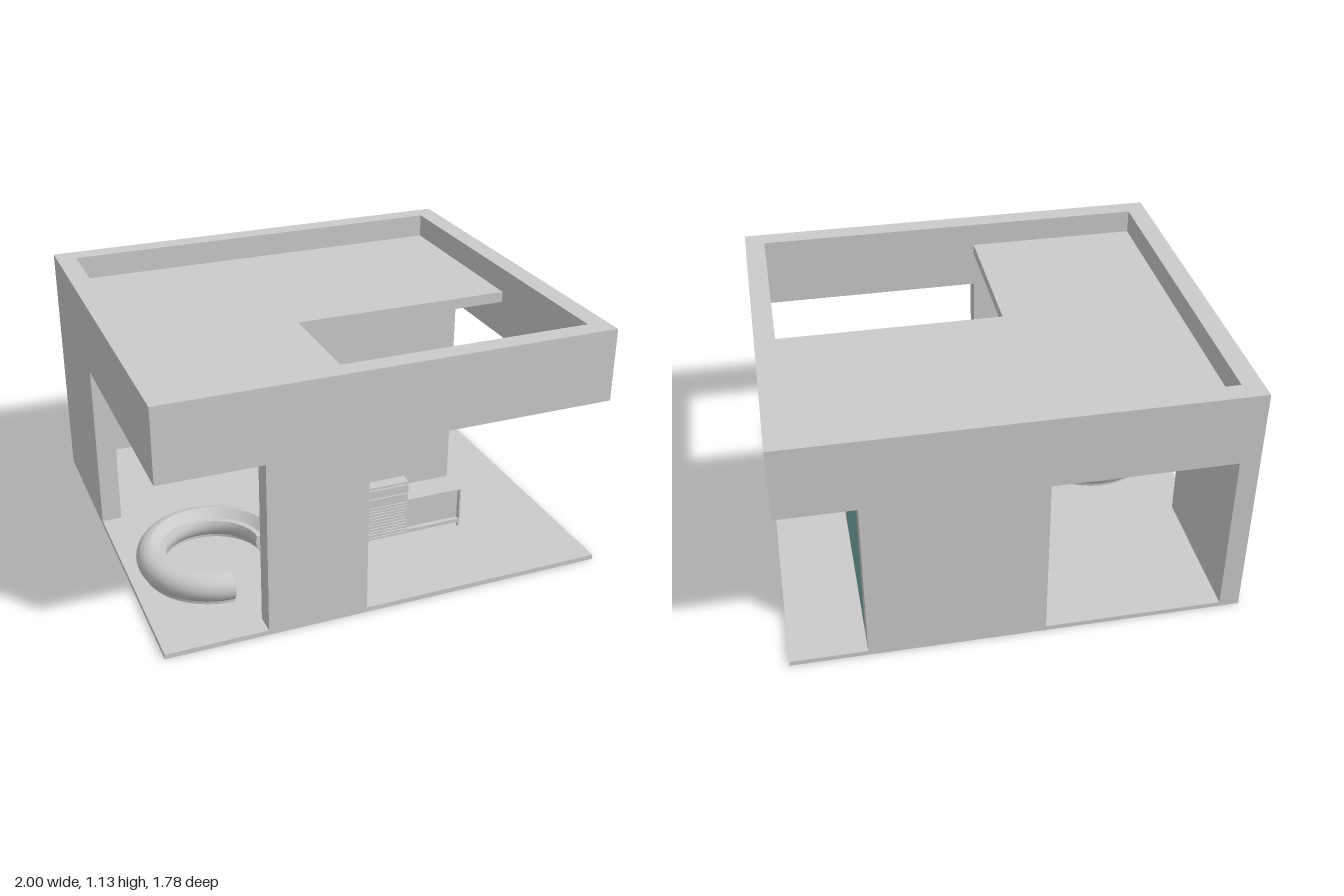
import * as THREE from 'three';
import { toCreasedNormals } from 'three/addons/utils/BufferGeometryUtils.js';

const grey = new THREE.MeshStandardMaterial({ color: 0xcccccc });
const greyThin = new THREE.MeshStandardMaterial({ color: 0xcccccc, side: THREE.DoubleSide });
const teal = new THREE.MeshStandardMaterial({ color: 0x78aaa7 });

export function createModel() {
  const model = new THREE.Group();
  const group = (name) => {
    const g = new THREE.Group();
    g.name = name;
    model.add(g);
    return g;
  };
  const add = (parent, name, geometry, material = grey) => {
    const mesh = new THREE.Mesh(geometry, material);
    mesh.name = name;
    parent.add(mesh);
    return mesh;
  };
  // Box given by its limits on each axis
  const box = (parent, name, [x0, x1], [y0, y1], [z0, z1], material) => {
    const mesh = add(parent, name, new THREE.BoxGeometry(x1 - x0, y1 - y0, z1 - z0), material);
    mesh.position.set((x0 + x1) / 2, (y0 + y1) / 2, (z0 + z1) / 2);
    return mesh;
  };
  // Flat plan shape (x, z corners) raised from y0 to y1; outline and hole wind opposite ways
  const slab = (parent, name, plan, y0, y1, hole) => {
    const points = (list) => list.map(([x, z]) => new THREE.Vector2(x, -z));
    const shape = new THREE.Shape(points(plan).reverse());
    if (hole) shape.holes.push(new THREE.Path(points(hole)));
    const geometry = new THREE.ExtrudeGeometry(shape, { depth: y1 - y0, bevelEnabled: false });
    geometry.rotateX(-Math.PI / 2);
    add(parent, name, geometry).position.y = y0;
  };
  const rect = (x, z) => [[-x, -z], [x, -z], [x, z], [-x, z]];

  // Floor, parapet and L-shaped roof deck
  box(model, 'floor', [-1, 1], [0, 0.022], [-0.89, 0.89]);
  slab(model, 'parapet', rect(1, 0.89), 0.8, 1.13, rect(0.91, 0.8));
  slab(model, 'roofDeck', [[-0.91, -0.8], [0.91, -0.8], [0.91, 0.09], [-0.115, 0.09],
    [-0.115, 0.8], [-0.91, 0.8]], 0.97, 1.02);

  // Walls
  const walls = group('walls');
  box(walls, 'frontWall', [-0.555, -0.115], [0.022, 0.8], [0.8, 0.89]);
  box(walls, 'backWall', [-0.115, 0.665], [0.022, 0.8], [-0.89, -0.8]);
  box(walls, 'roomWall', [-0.115, 0.665], [0.022, 0.97], [0, 0.09]);
  box(walls, 'sideWall', [-1, -0.91], [0.022, 0.8], [-0.89, -0.21]);

  // Framed glass on both sides of the room
  for (const [side, x0, x1] of [['right', -0.115, -0.075], ['left', 0.625, 0.665]]) {
    const win = group(side + 'Window');
    box(win, 'sill', [x0, x1], [0.022, 0.043], [-0.8, 0]);
    box(win, 'head', [x0, x1], [0.95, 0.97], [-0.8, 0]);
    box(win, 'frontJamb', [x0, x1], [0.043, 0.95], [-0.02, 0]);
    box(win, 'backJamb', [x0, x1], [0.043, 0.95], [-0.8, -0.78]);
    box(win, 'glass', [x0, x1], [0.043, 0.95], [-0.78, -0.02], teal);
  }

  // Three-quarter round sofa: a tube with a seat cut into its inner upper side
  const sofa = group('roundSofa');
  sofa.position.set(-0.622, 0.022, 0.332);
  const R = 0.271, r = 0.067;
  const profile = [];
  for (let i = 0; i <= 24; i++) {
    const t = THREE.MathUtils.degToRad(155 + (295 * i) / 24);
    profile.push(new THREE.Vector2(R + r * Math.cos(t), r + r * Math.sin(t)));
  }
  profile.push(new THREE.Vector2(R - 0.036, r + 0.028));
  const body = new THREE.LatheGeometry([...profile, profile[0]], 60, Math.PI / 2, Math.PI * 1.5);
  add(sofa, 'cushion', toCreasedNormals(body, 0.5));
  for (const turn of [0, -Math.PI / 2]) {
    add(sofa, 'cushionEnd', new THREE.ShapeGeometry(new THREE.Shape(profile)), greyThin).rotation.y = turn;
  }
  // Low plinth under the sofa
  const ring = new THREE.Shape();
  ring.absarc(0, 0, 0.31, 0, Math.PI * 1.5, false);
  ring.absarc(0, 0, 0.232, Math.PI * 1.5, 0, true);
  const plinth = new THREE.ExtrudeGeometry(ring, { depth: 0.016, bevelEnabled: false, curveSegments: 48 });
  plinth.rotateX(-Math.PI / 2);
  add(sofa, 'plinth', plinth);

  // Counter: recessed cabinet between boards, on a thin leg frame
  const counter = group('counter');
  box(counter, 'cabinet', [0.008, 0.546], [0.063, 0.214], [0.318, 0.425]);
  box(counter, 'counterTop', [0, 0.554], [0.214, 0.222], [0.31, 0.446]);
  box(counter, 'bottomBoard', [0.008, 0.546], [0.055, 0.063], [0.31, 0.446]);
  for (const x of [0, 0.546]) {
    box(counter, 'sidePanel', [x, x + 0.008], [0.055, 0.214], [0.31, 0.446]);
    box(counter, 'crossRail', [x, x + 0.008], [0.043, 0.055], [0.324, 0.432]);
  }
  for (const z of [0.314, 0.432]) {
    box(counter, 'rail', [0, 0.554], [0.043, 0.055], [z, z + 0.01]);
    for (const x of [0, 0.544]) box(counter, 'leg', [x, x + 0.01], [0.022, 0.043], [z, z + 0.01]);
  }

  // Open slatted screen on two uprights, with a folded-back shelf
  const screen = group('slattedScreen');
  for (const x of [0.052, 0.267]) {
    box(screen, 'upright', [x, x + 0.006], [0.05, 0.316], [0.446, 0.45]);
  }
  box(screen, 'shelf', [0.05, 0.275], [0.316, 0.325], [0.4, 0.456]);
  for (let i = 0; i < 11; i++) {
    const y = 0.052 + i * 0.0155;
    box(screen, 'slat', [0.05, 0.275], [y, y + 0.01], [0.449, 0.456]);
  }
  for (const [y0, y1] of [[0.223, 0.263], [0.268, 0.308]]) {
    box(screen, 'wideSlat', [0.05, 0.275], [y0, y1], [0.449, 0.456]);
  }
  return model;
}
